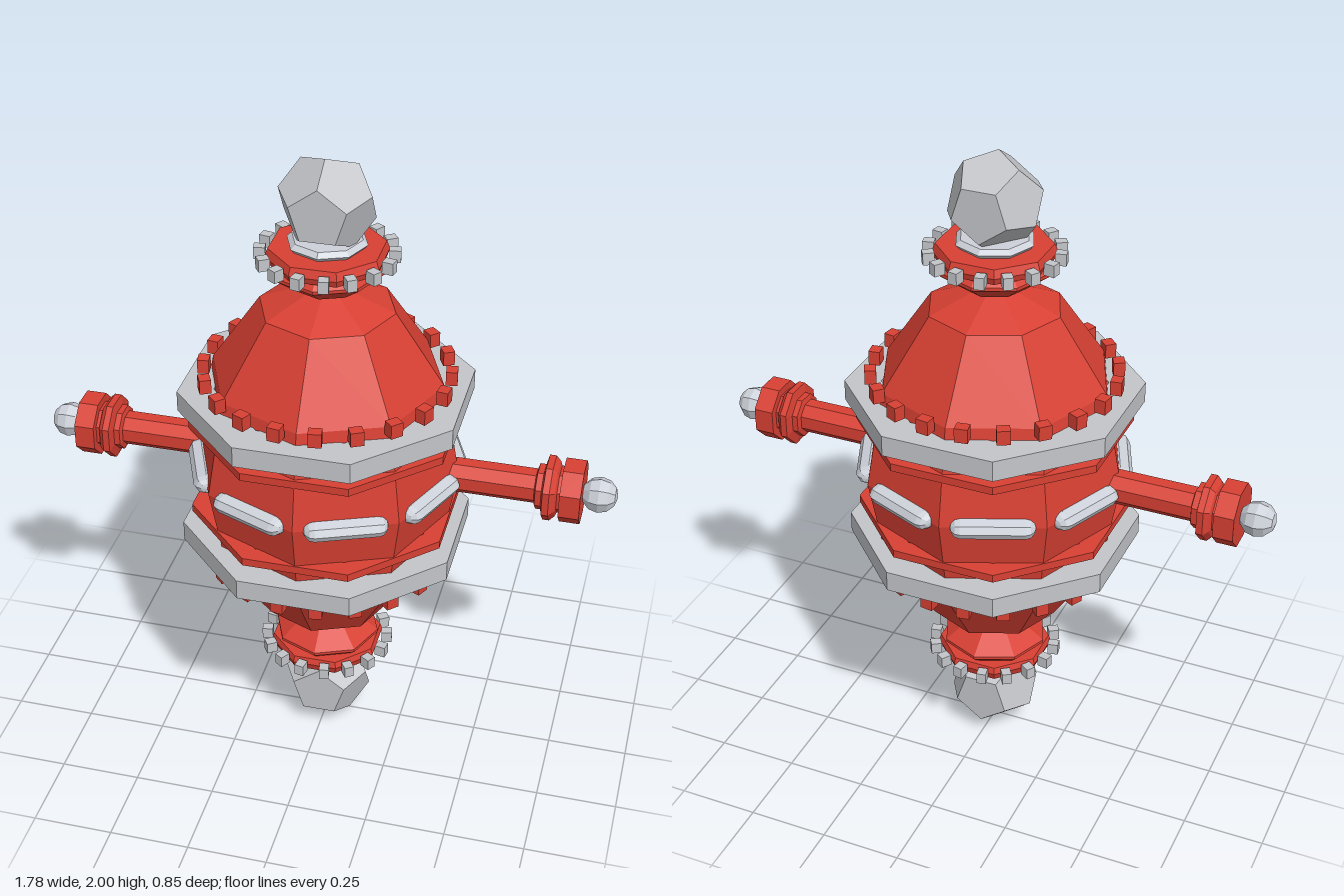
import * as THREE from 'three';

const flat = (name, color) => {
  const m = new THREE.MeshStandardMaterial({ color, flatShading: true });
  m.name = name;
  return m;
};

export function createModel() {
  const red = flat('red', 0xd84033);
  const silver = flat('silver', 0xc3c5c9);
  const pale = flat('pale silver', 0xcdd1d9);
  const model = new THREE.Group();
  model.name = 'capsule station';

  const add = (parent, name, geometry, material) => {
    const mesh = new THREE.Mesh(geometry, material);
    mesh.name = name;
    parent.add(mesh);
    return mesh;
  };
  // Eight-sided turned part; a half step puts flats on the axes
  const turned = (points, flats = false) => {
    const g = new THREE.LatheGeometry(points.map(([r, y]) => new THREE.Vector2(r, y)), 8);
    return flats ? g.rotateY(Math.PI / 8) : g;
  };
  // Square-section ring with flats on the axes
  const band = (inner, outer, y0, y1) =>
    turned([[inner, y0], [outer, y0], [outer, y1], [inner, y1], [inner, y0]], true);
  // Ring of small blocks
  const studs = (parent, name, count, radius, y, size, material) => {
    const ring = new THREE.Group();
    ring.name = name + 's';
    for (let i = 0; i < count; i++) {
      const a = ((i + 0.5) / count) * Math.PI * 2;
      const s = add(ring, name, new THREE.BoxGeometry(...size), material);
      s.position.set(Math.sin(a) * radius, y, Math.cos(a) * radius);
      s.rotation.y = a;
    }
    parent.add(ring);
  };

  // Faceted hull
  const hull = add(model, 'hull', new THREE.SphereGeometry(0.41, 8, 6).scale(1, 0.61 / 0.41, 1), red);
  hull.position.y = 1;

  // Rounded window bars, one on each hull face
  for (let i = 0; i < 8; i++) {
    const a = (i + 0.5) * Math.PI / 4;
    const bar = add(model, 'windowBar',
      new THREE.CapsuleGeometry(0.03, 0.19, 3, 8).rotateZ(Math.PI / 2).scale(1, 1, 1.3), pale);
    bar.position.set(Math.sin(a) * 0.379, 1, Math.cos(a) * 0.379);
    bar.rotation.y = a;
  }

  // Upper and lower fittings
  for (const end of ['upper', 'lower']) {
    const half = new THREE.Group();
    half.name = end + 'Fittings';
    add(half, 'thinHullRing', band(0.36, 0.42, 1.14, 1.165), red);
    add(half, 'hullRing', band(0.34, 0.45, 1.205, 1.27), silver);
    studs(half, 'hullStud', 20, 0.37, 1.308, [0.04, 0.045, 0.035], red);
    add(half, 'collar', turned([[0, 1.595], [0.1, 1.6], [0.168, 1.65], [0.168, 1.66], [0.14, 1.685]]), red);
    add(half, 'collarRim', turned([[0, 1.68], [0.175, 1.68], [0.182, 1.7], [0.172, 1.725], [0, 1.725]], true), red);
    studs(half, 'collarStud', 16, 0.194, 1.698, [0.03, 0.037, 0.034], silver);
    add(half, 'collarDisc', turned([[0, 1.722], [0.105, 1.722], [0.12, 1.738], [0.105, 1.752], [0, 1.752]]), pale);
    if (end === 'lower') {
      half.rotation.x = Math.PI;
      half.position.y = 2;
    }
    model.add(half);
  }

  // Twelve-sided end knobs, a face to the front with its point upward
  for (const y of [0.142, 1.858]) {
    const knob = add(model, 'endKnob', new THREE.DodecahedronGeometry(0.146)
      .rotateY(-Math.atan(2 / (1 + Math.sqrt(5)))).rotateZ(Math.PI / 2), silver);
    knob.position.y = y;
  }

  // Side arms with stepped flanges and ball tips
  for (const side of [1, -1]) {
    const arm = new THREE.Group();
    arm.name = side > 0 ? 'leftArm' : 'rightArm';
    add(arm, 'armShaft', turned([[0, 0.3], [0.053, 0.3], [0.053, 0.645], [0.07, 0.65],
      [0.07, 0.668], [0.1, 0.675], [0.1, 0.695], [0.085, 0.71], [0.072, 0.715],
      [0.072, 0.725], [0.098, 0.725], [0.098, 0.787], [0, 0.787]], true), red);
    const ball = add(arm, 'armTip', new THREE.SphereGeometry(0.055, 8, 6), pale);
    ball.position.y = 0.835;
    arm.rotation.z = -side * Math.PI / 2;
    arm.position.y = 1;
    model.add(arm);
  }
  return model;
}
